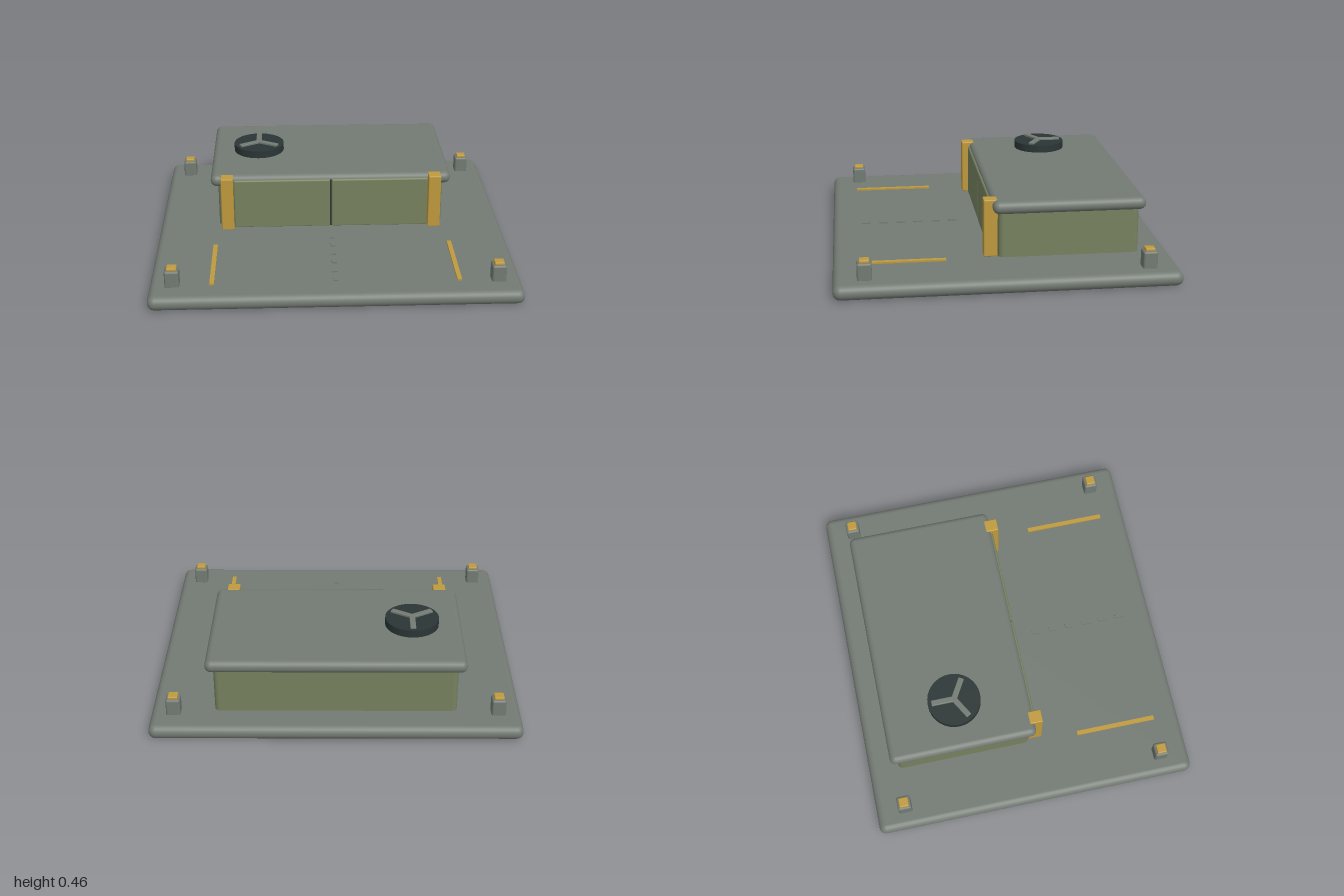
import * as THREE from 'three';
import { RoundedBoxGeometry } from 'three/addons/geometries/RoundedBoxGeometry.js';

const material = (name, color) => {
  const m = new THREE.MeshStandardMaterial({ color });
  m.name = name;
  return m;
};

export function createModel() {
  const model = new THREE.Group();
  model.name = 'building';
  const grey = material('stone grey', 0x737a73);
  const olive = material('olive wall', 0x77815f);
  const gold = material('brass gold', 0xbf9a3e);
  const dark = material('dark slate', 0x2b3535);

  const add = (name, geometry, mat, x, y, z, parent = model) => {
    const mesh = new THREE.Mesh(geometry, mat);
    mesh.name = name;
    mesh.position.set(x, y, z);
    parent.add(mesh);
    return mesh;
  };
  // Box given by its extents; a radius rounds the edges
  const block = (name, mat, [x0, x1], [y0, y1], [z0, z1], radius = 0, parent = model) => {
    const size = [x1 - x0, y1 - y0, z1 - z0];
    const geometry = radius
      ? new RoundedBoxGeometry(...size, 3, radius)
      : new THREE.BoxGeometry(...size);
    return add(name, geometry, mat, (x0 + x1) / 2, (y0 + y1) / 2, (z0 + z1) / 2, parent);
  };

  // Ground slab, walls and overhanging roof
  block('baseSlab', grey, [-1, 1], [0, 0.08], [-0.915, 0.915], 0.039);
  block('walls', olive, [-0.655, 0.655], [0.05, 0.36], [-0.745, 0.025], 0.03);
  block('roof', grey, [-0.697, 0.697], [0.33, 0.4], [-0.775, 0.057], 0.034);

  // Double door with a dark seam
  block('doorSeam', dark, [-0.012, 0.012], [0.08, 0.37], [0.02, 0.058]);
  for (const side of [-1, 1]) {
    const span = (a, b) => (side > 0 ? [a, b] : [-b, -a]);
    block('door', olive, span(0.004, 0.565), [0.075, 0.375], [0.02, 0.067], 0.01);
    block('doorPillar', gold, span(0.565, 0.637), [0.08, 0.4], [0.027, 0.103], 0.006);
    block('groundStrip', gold, span(0.652, 0.677), [0.078, 0.09], [0.31, 0.77]);

    // Corner bollards with brass caps
    for (const z of [-0.75, 0.75]) {
      const bollard = new THREE.Group();
      bollard.name = 'bollard';
      bollard.position.set(side * 0.875, 0, z);
      model.add(bollard);
      block('bollardPost', grey, [-0.039, 0.039], [0.07, 0.172], [-0.039, 0.039], 0.012, bollard);
      block('bollardCap', gold, [-0.027, 0.027], [0.168, 0.187], [-0.027, 0.027], 0.006, bollard);
    }
  }

  // Row of low markers along the centre of the forecourt
  for (let i = 0; i < 6; i++) {
    const z = 0.215 + i * 0.102;
    block('centreMarker', grey, [-0.014, 0.014], [0.078, 0.088], [z - 0.026, z + 0.026]);
  }

  // Roof fan with three blades
  const fan = new THREE.Group();
  fan.name = 'roofFan';
  fan.position.set(-0.42, 0.4, -0.36);
  model.add(fan);
  add('fanHousing', new THREE.CylinderGeometry(0.149, 0.149, 0.045, 32), dark, 0, 0.0205, 0, fan);
  for (let i = 0; i < 3; i++) {
    const blade = new THREE.Group();
    blade.name = 'fanBlade';
    blade.rotation.y = (i * Math.PI * 2) / 3;
    fan.add(blade);
    block('bladeBar', grey, [-0.016, 0.016], [0.038, 0.055], [-0.128, 0.008], 0.004, blade);
  }
  return model;
}
